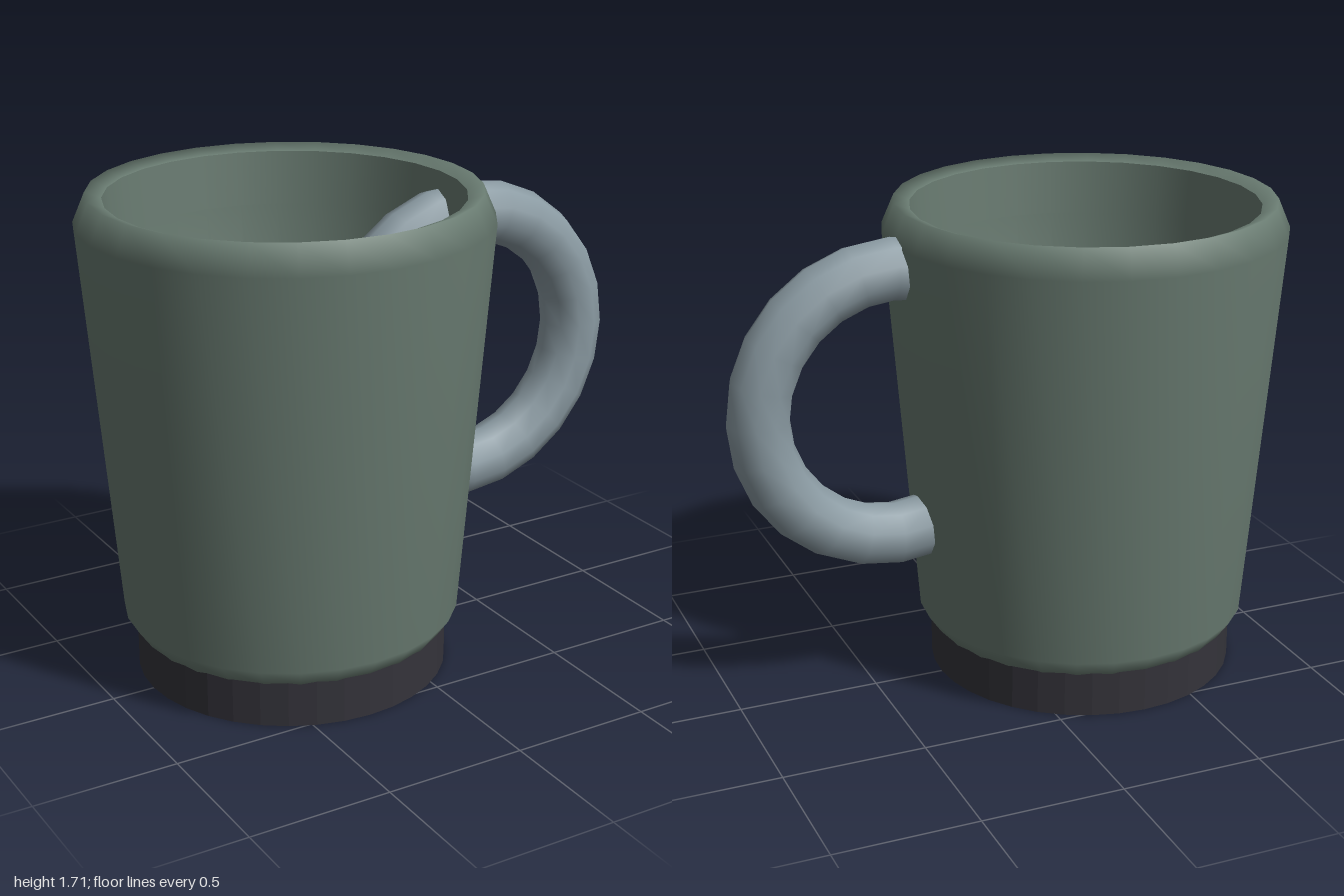
import * as THREE from 'three';

const CUP_X = -0.3;
const SIDES = 28;

function material(name, color) {
  const m = new THREE.MeshStandardMaterial({ color });
  m.name = name;
  return m;
}

// Smooth surface of revolution from [radius, height] pairs
function lathe(points) {
  return new THREE.LatheGeometry(points.map(([r, y]) => new THREE.Vector2(r, y)), SIDES);
}

export function createModel() {
  const model = new THREE.Group();
  model.name = 'mug';

  const green = material('sage green', 0x687a70);
  const grey = material('blue grey', 0x8a9aa2);
  const dark = material('charcoal', 0x34333a);
  dark.flatShading = true;

  function add(name, geometry, mat, x, y = 0) {
    const mesh = new THREE.Mesh(geometry, mat);
    mesh.name = name;
    mesh.position.set(x, y, 0);
    model.add(mesh);
  }

  // Tapered outer wall with bevelled foot and rim
  add('outerWall', lathe([
    [0.5, 0.11], [0.545, 0.155], [0.59, 0.22], [0.703, 1.61], [0.66, 1.71], [0.605, 1.69],
  ]), green, CUP_X);

  // Inner wall running down to a rounded bowl
  add('innerWall', lathe([
    [0.605, 1.69], [0.59, 1.5], [0.5, 0.35], [0.2, 0.25],
  ]), green, CUP_X);

  // Flat disc at the bottom of the bowl
  add('innerFloor', lathe([[0.2, 0.25], [0, 0.25]]), green, CUP_X);

  // Faceted base
  add('base', new THREE.CylinderGeometry(0.547, 0.547, 0.17, 36), dark, CUP_X, 0.085);

  // Ring handle, passing through the wall into the cup
  add('handle', new THREE.TorusGeometry(0.477, 0.11, 10, 24), grey, 0.413, 1.054);

  return model;
}
